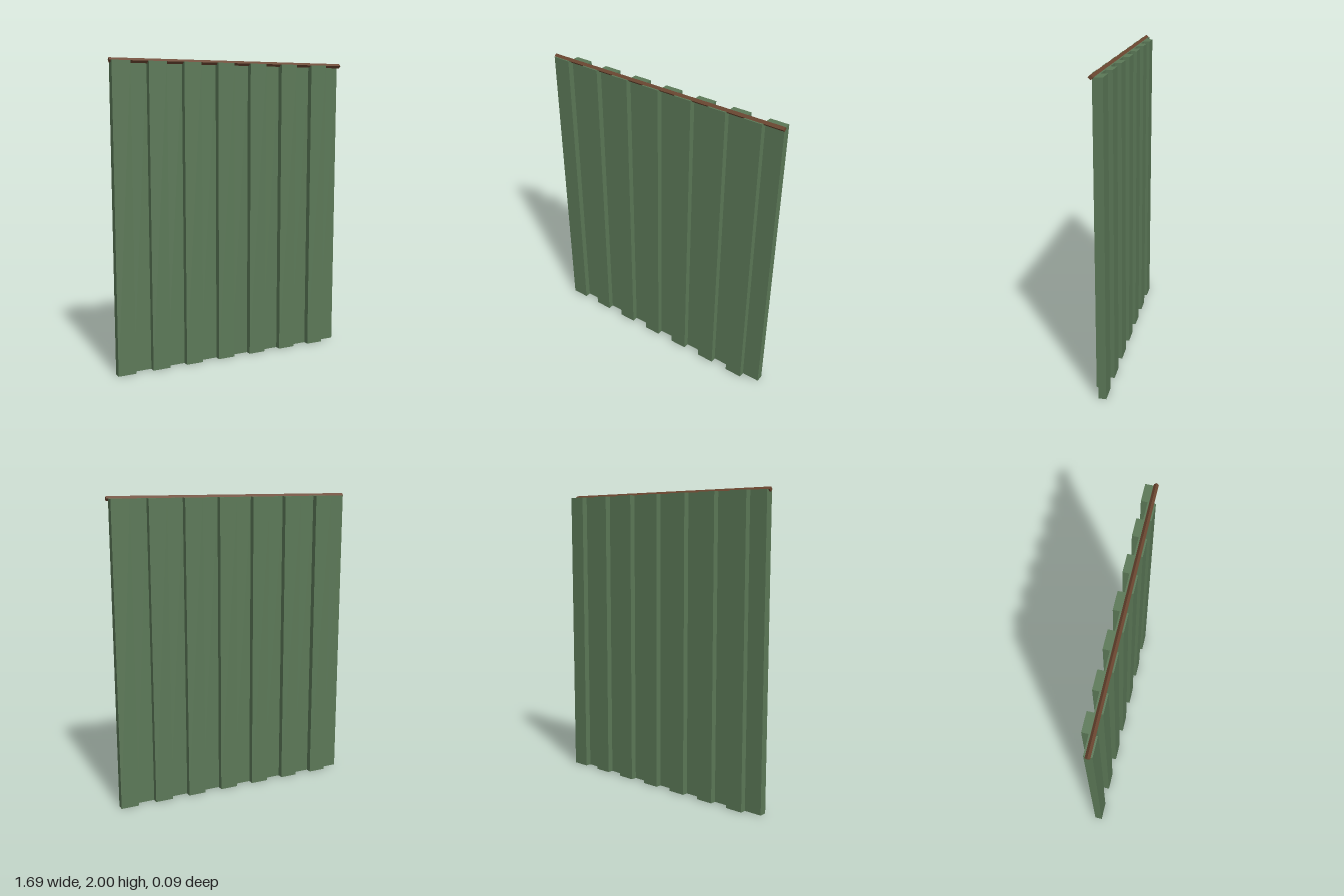
import * as THREE from 'three';

export function createModel() {
  const model = new THREE.Group();
  model.name = 'pleatedCurtain';

  const fabric = new THREE.MeshStandardMaterial({ color: 0x5b7857 });
  fabric.name = 'green fabric';
  const wood = new THREE.MeshStandardMaterial({ color: 0x6b4630, flatShading: true });
  wood.name = 'brown wood';

  // Pleats: flat slats stepping alternately forward and back
  const count = 14, width = 1.67 / count, height = 1.985, depth = 0.05;
  const pleatGeometry = new THREE.BoxGeometry(width, height, depth);
  const pleats = new THREE.Group();
  pleats.name = 'pleats';
  for (let i = 0; i < count; i++) {
    const isFront = i % 2 === 0;
    const pleat = new THREE.Mesh(pleatGeometry, fabric);
    pleat.name = isFront ? 'frontPleat' : 'backPleat';
    pleat.position.set((i - (count - 1) / 2) * width, height / 2, isFront ? 0.02 : -0.02);
    pleats.add(pleat);
  }
  model.add(pleats);

  // Rod: four-sided bar set on edge along the top
  const rod = new THREE.Mesh(new THREE.CylinderGeometry(0.015, 0.015, 1.69, 4), wood);
  rod.name = 'curtainRod';
  rod.rotation.z = Math.PI / 2;
  rod.position.set(0, height, 0.02);
  model.add(rod);

  return model;
}
